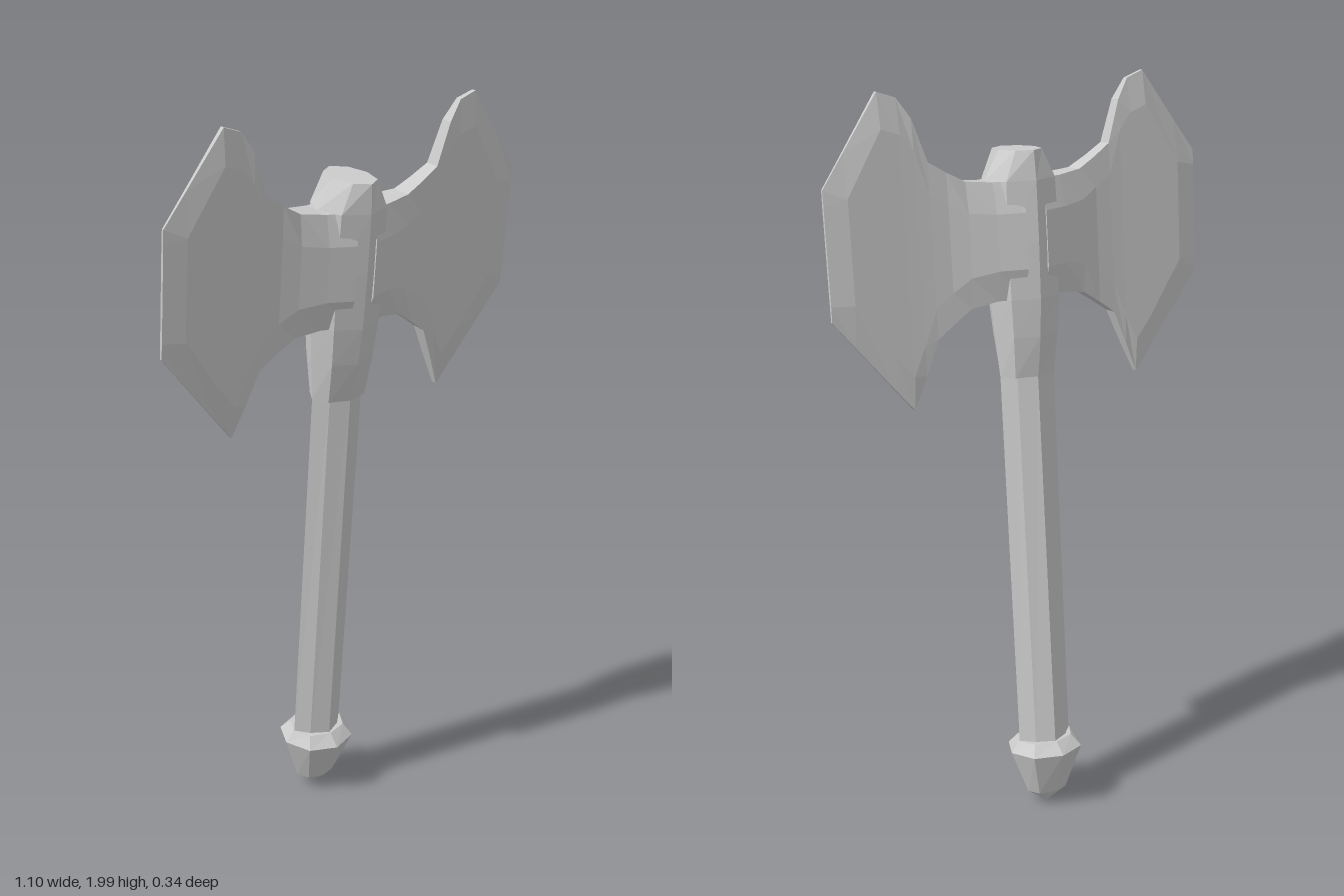
import * as THREE from 'three';

const material = new THREE.MeshStandardMaterial({ color: 0xcccccc, flatShading: true });

// Skins a list of equal-length rings (counter-clockwise around the loft direction) and caps both ends.
function loft(name, rings) {
  const n = rings[0].length;
  const positions = rings.flat(2);
  const index = [];
  for (let i = 0; i < rings.length - 1; i++) {
    for (let j = 0; j < n; j++) {
      const a = i * n + j, b = i * n + (j + 1) % n;
      index.push(a, b, b + n, a, b + n, a + n);
    }
  }
  const last = (rings.length - 1) * n;
  for (let j = 1; j < n - 1; j++) {
    index.push(0, j + 1, j, last, last + j, last + j + 1);
  }
  const geometry = new THREE.BufferGeometry();
  geometry.setAttribute('position', new THREE.Float32BufferAttribute(positions, 3));
  geometry.setIndex(index);
  geometry.computeVertexNormals();
  const mesh = new THREE.Mesh(geometry, material);
  mesh.name = name;
  return mesh;
}

// Eight-sided ring with ridges at front, back and sides; dx, dz place the diagonal corners.
function octagon([y, rx, rz], dx, dz) {
  const a = rx * dx, b = rz * dz;
  return [[0, y, rz], [a, y, b], [rx, y, 0], [a, y, -b], [0, y, -rz], [-a, y, -b], [-rx, y, 0], [-a, y, b]];
}
const column = (name, rows, dx, dz) => loft(name, rows.map((r) => octagon(r, dx, dz)));

// Blade slice at x: edge half-thickness e, face half-thickness m, face inset from the edges.
function bladeSlice([x, bottom, top, e, m, inset]) {
  const hi = top - inset, lo = bottom + inset;
  return [[x, top, -e], [x, top, e], [x, hi, m], [x, lo, m], [x, bottom, e], [x, bottom, -e], [x, lo, -m], [x, hi, -m]];
}

const bladeRows = [
  [0.03, 1.45, 1.755, 0.06, 0.085, 0.08],
  [0.10, 1.45, 1.755, 0.042, 0.06, 0.08],
  [0.17, 1.438, 1.763, 0.028, 0.038, 0.08],
  [0.22, 1.405, 1.79, 0.024, 0.026, 0.08],
  [0.268, 1.37, 1.82, 0.02, 0.022, 0.08],
  [0.305, 1.28, 1.93, 0.016, 0.02, 0.08],
  [0.34, 1.195, 1.983, 0.008, 0.019, 0.09],
  [0.39, 1.255, 2.0, 0.006, 0.018, 0.09],
  [0.49, 1.377, 1.86, 0.004, 0.016, 0.11],
  [0.55, 1.45, 1.777, 0.003, 0.004, 0.04],
];

export function createModel() {
  const model = new THREE.Group();
  model.name = 'battleAxe';

  const axe = new THREE.Group();
  axe.name = 'axe';

  // Faceted pommel with a pointed end
  axe.add(column('pommel', [
    [0, 0.002, 0.002], [0.04, 0.06, 0.045], [0.17, 0.107, 0.1], [0.2, 0.083, 0.066],
  ], 0.71, 0.71));

  // Ridged handle
  axe.add(column('handle', [[0.18, 0.08, 0.06], [1.26, 0.082, 0.056]], 0.6, 0.58));

  // Socket swelling out of the handle up to the cap
  axe.add(column('socket', [
    [1.24, 0.082, 0.058], [1.35, 0.092, 0.078], [1.45, 0.1, 0.088],
    [1.6, 0.105, 0.092], [1.755, 0.1, 0.092], [1.83, 0.054, 0.086],
  ], 0.72, 0.7));

  // Two matching blades
  for (const side of [1, -1]) {
    const blade = loft(side > 0 ? 'leftBlade' : 'rightBlade', bladeRows.map(bladeSlice));
    if (side < 0) blade.rotation.y = Math.PI;
    axe.add(blade);
  }

  // The whole axe leans forward with a slight turn
  axe.rotation.set(0.096, -0.08, 0.0137, 'XZY');
  axe.position.set(0.02, 0.005, -0.095);
  model.add(axe);
  return model;
}
